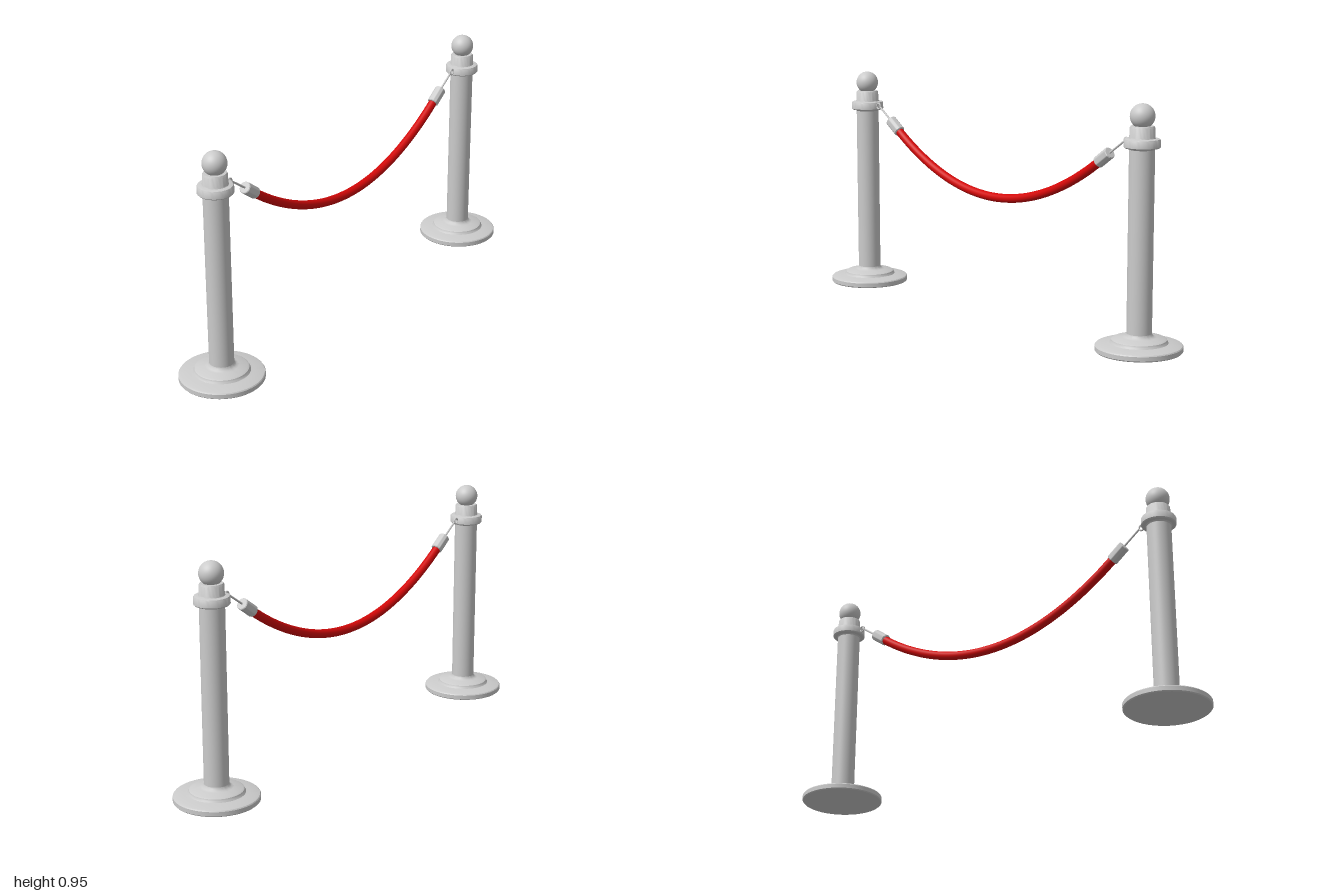
import * as THREE from 'three';
import { toCreasedNormals } from 'three/addons/utils/BufferGeometryUtils.js';

const grey = new THREE.MeshStandardMaterial({ color: 0xcccccc });
const red = new THREE.MeshStandardMaterial({ color: 0xd40808 });

function mesh(name, geometry, material = grey) {
  const m = new THREE.Mesh(geometry, material);
  m.name = name;
  return m;
}

// Solid of revolution with crisp corners
function turned(profile, segments = 48) {
  const points = profile.map(([r, y]) => new THREE.Vector2(r, y));
  return toCreasedNormals(new THREE.LatheGeometry(points, segments), 0.6);
}

// Rod between two points
function rod(name, a, b, radius) {
  return mesh(name, new THREE.TubeGeometry(new THREE.LineCurve3(a, b), 1, radius, 10));
}

const POST_X = 0.83;
const sag = x => 0.492 + 0.58 * x * x;

function createPost() {
  const post = new THREE.Group();
  post.name = 'post';
  post.add(mesh('base', turned([
    [0, 0], [0.166, 0], [0.17, 0.004], [0.17, 0.021], [0.167, 0.025], [0.158, 0.028],
    [0.125, 0.032], [0.113, 0.034], [0.109, 0.039], [0.107, 0.046], [0.1, 0.05],
    [0.066, 0.055], [0.057, 0.058], [0.051, 0.064], [0.049, 0.07],
  ])));
  post.add(mesh('pole', new THREE.CylinderGeometry(0.049, 0.049, 0.735, 48, 1, true).translate(0, 0.4275, 0)));
  post.add(mesh('collar', turned([
    [0.049, 0.779], [0.053, 0.784], [0.066, 0.785], [0.07, 0.789], [0.07, 0.814],
    [0.067, 0.819], [0.06, 0.821], [0.051, 0.822], [0.049, 0.826],
    [0.048, 0.862], [0.044, 0.868], [0, 0.868],
  ])));
  post.add(mesh('ballFinial', new THREE.SphereGeometry(0.048, 40, 24).translate(0, 0.905, 0)));
  return post;
}

// Ring, wire and sleeve that hang the +x end of the rope
function createRopeEnd() {
  const end = new THREE.Group();
  end.name = 'ropeEnd';
  const ring = mesh('ring', new THREE.TorusGeometry(0.012, 0.0035, 10, 28));
  ring.position.set(0.75, 0.804, 0);
  end.add(ring);
  end.add(rod('wire', new THREE.Vector3(0.741, 0.803, 0), new THREE.Vector3(0.655, 0.742, 0), 0.004));
  end.add(rod('ringPin', new THREE.Vector3(0.758, 0.804, 0), new THREE.Vector3(0.77, 0.804, 0), 0.004));

  const sleeve = mesh('sleeve', turned([
    [0, -0.038], [0.021, -0.038], [0.024, -0.035], [0.024, 0.035], [0.021, 0.038], [0, 0.038],
  ], 32));
  sleeve.position.set(0.634, 0.727, 0);
  sleeve.rotation.z = Math.atan(0.72) - Math.PI / 2;
  end.add(sleeve);
  return end;
}

export function createModel() {
  const model = new THREE.Group();
  model.name = 'ropeBarrier';

  for (const side of [1, -1]) {
    const half = new THREE.Group();
    half.name = side > 0 ? 'leftSide' : 'rightSide';
    const post = createPost();
    post.position.x = POST_X;
    half.add(post, createRopeEnd());
    half.rotation.y = side > 0 ? 0 : Math.PI;
    model.add(half);
  }

  // Sagging rope
  const points = [];
  for (let i = -8; i <= 8; i++) {
    const x = (i / 8) * 0.62;
    points.push(new THREE.Vector3(x, sag(x), 0));
  }
  const curve = new THREE.CatmullRomCurve3(points);
  model.add(mesh('rope', new THREE.TubeGeometry(curve, 64, 0.018, 20), red));
  return model;
}
